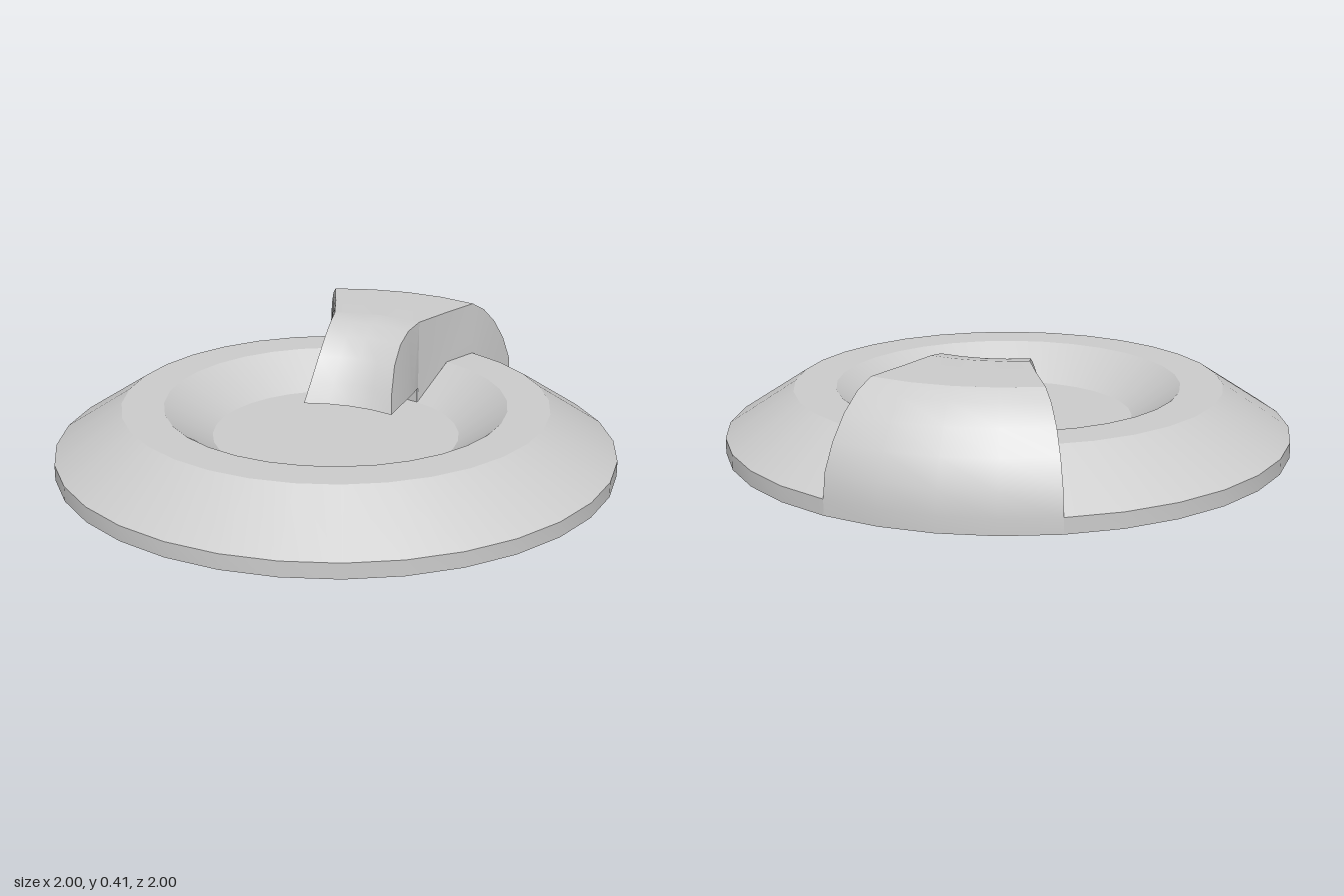
import * as THREE from 'three';
import { toCreasedNormals } from 'three/addons/utils/BufferGeometryUtils.js';

const WEDGE = Math.PI / 8; // half angle of the gap filled by the handle
const CREASE = 0.47;

// Surface through rows of points; columns run along +x, rows along -z
function loft(rows) {
  const n = rows[0].length;
  const index = [];
  for (let i = 0; i < rows.length - 1; i++) {
    for (let j = 0; j < n - 1; j++) {
      const a = i * n + j, b = a + 1, c = a + n, d = c + 1;
      index.push(a, b, c, b, d, c);
    }
  }
  const geo = new THREE.BufferGeometry();
  geo.setAttribute('position', new THREE.Float32BufferAttribute(rows.flat(2), 3));
  geo.setIndex(index);
  return toCreasedNormals(geo, CREASE);
}

export function createModel() {
  const group = new THREE.Group();
  const grey = new THREE.MeshStandardMaterial({ color: 0xcccccc, side: THREE.DoubleSide });
  grey.name = 'light grey';

  const add = (parent, name, geo) => {
    const mesh = new THREE.Mesh(geo, grey);
    mesh.name = name;
    parent.add(mesh);
    return mesh;
  };

  // Open shell: rim, sloping skirt, flat ring and bowl wall
  const profile = [[1, 0], [1, 0.055], [0.76, 0.213], [0.61, 0.213], [0.44, 0.095]]
    .map(([r, y]) => new THREE.Vector2(r, y));
  const shell = new THREE.LatheGeometry(profile, 28, Math.PI + WEDGE, 2 * Math.PI - 2 * WEDGE);
  add(group, 'dishShell', toCreasedNormals(shell, CREASE));

  // Floor of the bowl, with a low lip under the handle
  const floor = add(group, 'bowlFloor', new THREE.CircleGeometry(0.44, 32));
  floor.rotation.x = -Math.PI / 2;
  floor.position.y = 0.095;
  const lip = new THREE.CylinderGeometry(0.44, 0.44, 0.055, 4, 1, true, Math.PI - WEDGE, 2 * WEDGE);
  add(group, 'floorLip', lip).position.y = 0.1225;

  // Handle stations: top y, middle z, half width, edge z, then the side's lower x, y, z
  const stations = [
    [0.145, -0.145, 0.17, -0.115, 0.17, 0.145, -0.115],
    [0.215, -0.18, 0.158, -0.15, 0.171, 0.147, -0.16],
    [0.30, -0.235, 0.148, -0.205, 0.172, 0.148, -0.22],
    [0.36, -0.30, 0.147, -0.27, 0.173, 0.149, -0.29],
    [0.393, -0.37, 0.154, -0.34, 0.173, 0.15, -0.35],
    [0.405, -0.45, 0.168, -0.42, 0.172, 0.15, -0.405],
    [0.405, -0.452, 0.169, -0.422, 0.17, 0.095, -0.406],
    [0.405, -0.61, 0.222, -0.568, 0.233, 0.213, -0.563],
    [0.405, -0.775, 0.283, -0.72, 0.291, 0.213, -0.702],
    [0.37, -0.835, 0.312, -0.773, 0.314, 0.173, -0.758],
    [0.31, -0.895, 0.34, -0.828, 0.342, 0.125, -0.825],
    [0.23, -0.95, 0.363, -0.878, 0.364, 0.086, -0.88],
    [0.14, -0.99, 0.379, -0.915, 0.379, 0.062, -0.915],
    [0.055, -1, 0.383, -0.924, 0.383, 0.055, -0.924],
    [0, -1, 0.383, -0.924, 0.383, 0, -0.924],
  ];
  const handle = new THREE.Group();
  handle.name = 'handle';
  group.add(handle);

  // Curved cover of the handle, bowed across its width
  add(handle, 'handleCover', loft(stations.map(([y, zMid, half, zEdge]) =>
    [-1, -0.5, 0, 0.5, 1].map((s) => [half * s, y, zMid + (zEdge - zMid) * s * s]))));

  // Side panels hanging from the cover's edges
  for (const side of [1, -1]) {
    const rows = stations.map(([y, , half, zEdge, bx, by, bz]) => {
      const row = [[side * half, y, zEdge], [side * bx, by, bz]];
      return side > 0 ? row : row.reverse();
    });
    add(handle, side > 0 ? 'leftHandleSide' : 'rightHandleSide', loft(rows));
  }
  return group;
}
